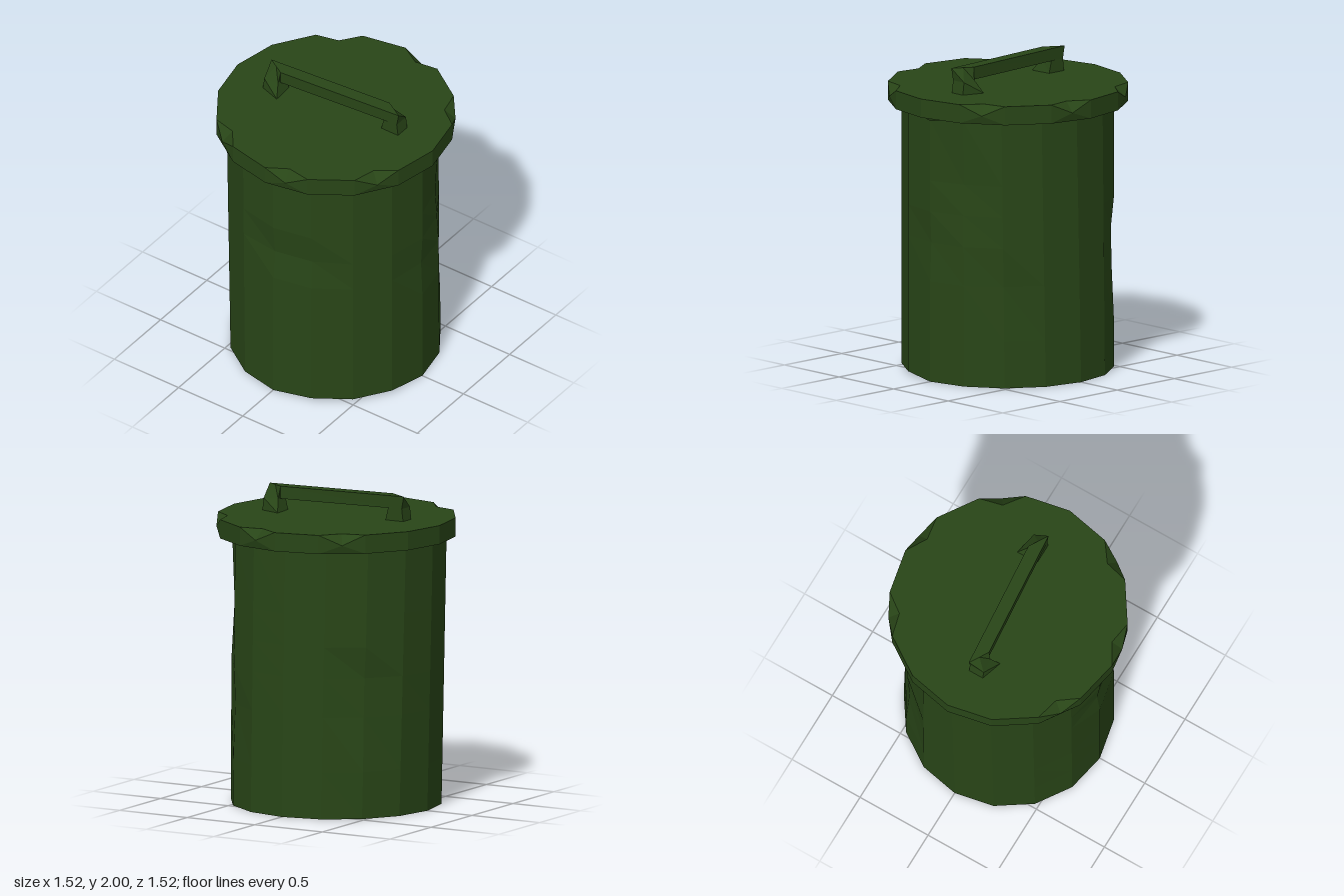
import * as THREE from 'three';

const SIDES = 16;
const material = new THREE.MeshStandardMaterial({
  color: 0x284517, flatShading: true, side: THREE.DoubleSide,
});

function meshFromTriangles(name, points) {
  const geometry = new THREE.BufferGeometry().setFromPoints(points);
  geometry.computeVertexNormals();
  return named(name, geometry);
}

function named(name, geometry) {
  const mesh = new THREE.Mesh(geometry, material);
  mesh.name = name;
  return mesh;
}

// Closed solid through rings of [x, z] corners, each ring at its own height
function loft(name, rings) {
  const levels = rings.map(({ y, xz }) => xz.map(([x, z]) => new THREE.Vector3(x, y, z)));
  const n = levels[0].length;
  const tris = [];
  for (let l = 0; l < levels.length - 1; l++) {
    const low = levels[l], high = levels[l + 1];
    for (let i = 0; i < n; i++) {
      const j = (i + 1) % n;
      tris.push(low[i], high[i], high[j], low[i], high[j], low[j]);
    }
  }
  const bottom = levels[0], top = levels[levels.length - 1];
  for (let i = 1; i < n - 1; i++) {
    tris.push(bottom[0], bottom[i], bottom[i + 1], top[0], top[i + 1], top[i]);
  }
  return meshFromTriangles(name, tris);
}

// Slightly leaning, dented bin wall with a closed bottom and open rim
function createBody() {
  const heights = [0, 0.3, 0.65, 0.9, 1.1, 1.3, 1.72];
  const profile = [new THREE.Vector2(0, 0), ...heights.map((y) => new THREE.Vector2(0.67, y))];
  const geometry = new THREE.LatheGeometry(profile, SIDES);
  const p = geometry.attributes.position;

  // Dents: side counted from the front towards +x, height, inward depth
  const dents = [
    [12, 1.1, 0.02], [13, 1.1, 0.02], [1, 1.3, 0.02], [1, 1.1, 0.01],
    [0, 0.9, 0.01], [6, 0.9, 0.02], [6, 0.65, 0.015], [2, 0.65, 0.01],
  ];
  for (let i = 0; i < p.count; i++) {
    const x = p.getX(i), y = p.getY(i), z = p.getZ(i);
    const t = y / 1.72;
    const side = Math.floor(i / profile.length) % SIDES;
    const dent = dents.find(([s, h]) => s === side && Math.abs(h - y) < 0.01);
    const k = 1 - (dent ? dent[2] / 0.67 : 0);
    const stretch = z < 0 ? 1 + 0.06 * t : 1.015;
    // The rim dips at the front, the foot lifts at the front left
    let newY = y;
    if (side === 0 && y > 1.7) newY = 1.69;
    if (y === 0 && x < -0.1 && z > 0.1) newY = 0.02;
    p.setXYZ(i, x * k * (x > 0 ? 1 - 0.06 * t : 1), newY, z * k * stretch);
  }
  geometry.computeVertexNormals();
  return named('body', geometry);
}

// Disc lid whose upper rim is chipped on six of its sides
function createLid() {
  const low = 1.72, high = 1.84, radius = 0.76;
  const chipped = [0, 2, 5, 7, 9, 14];
  const at = (step, r, y) => {
    const a = (step / SIDES) * Math.PI * 2;
    return new THREE.Vector3(r * Math.cos(a), y, r * Math.sin(a));
  };
  const topCentre = new THREE.Vector3(0, high, 0);
  const bottomCentre = new THREE.Vector3(0, low, 0);
  const tris = [];
  for (let i = 0; i < SIDES; i++) {
    const a0 = at(i, radius, low), a1 = at(i, radius, high);
    const b0 = at(i + 1, radius, low), b1 = at(i + 1, radius, high);
    tris.push(bottomCentre, a0, b0);
    if (chipped.includes(i)) {
      const inner = at(i + 0.5, 0.692, high), outer = at(i + 0.5, 0.762, 1.775);
      tris.push(topCentre, inner, a1, topCentre, b1, inner);
      tris.push(a0, outer, b0, a0, a1, outer, b0, outer, b1);
      tris.push(a1, inner, outer, inner, b1, outer);
    } else {
      tris.push(topCentre, b1, a1, a0, a1, b1, a0, b1, b0);
    }
  }
  return meshFromTriangles('lid', tris);
}

// Skewed bar on two flared legs
function createHandle() {
  const handle = new THREE.Group();
  handle.name = 'handle';
  handle.add(loft('handleBar', [
    { y: 1.92, xz: [[0.075, 0.37], [0, 0.48], [-0.075, -0.37], [0, -0.48]] },
    { y: 2.0, xz: [[0.075, 0.37], [0, 0.495], [-0.075, -0.37], [0, -0.495]] },
  ]));
  for (const [name, turn] of [['frontHandleLeg', 0], ['backHandleLeg', Math.PI]]) {
    const leg = loft(name, [
      { y: 1.84, xz: [[0.145, 0.35], [0.1, 0.49], [0, 0.49], [0, 0.36]] },
      { y: 1.92, xz: [[0.09, 0.38], [0.1, 0.48], [0, 0.48], [0, 0.38]] },
      { y: 2.0, xz: [[0.075, 0.37], [0.04, 0.43], [0, 0.495], [0, 0.37]] },
    ]);
    leg.rotation.y = turn;
    handle.add(leg);
  }
  return handle;
}

export function createModel() {
  const model = new THREE.Group();
  model.name = 'bin';
  model.add(createBody(), createLid(), createHandle());
  return model;
}
